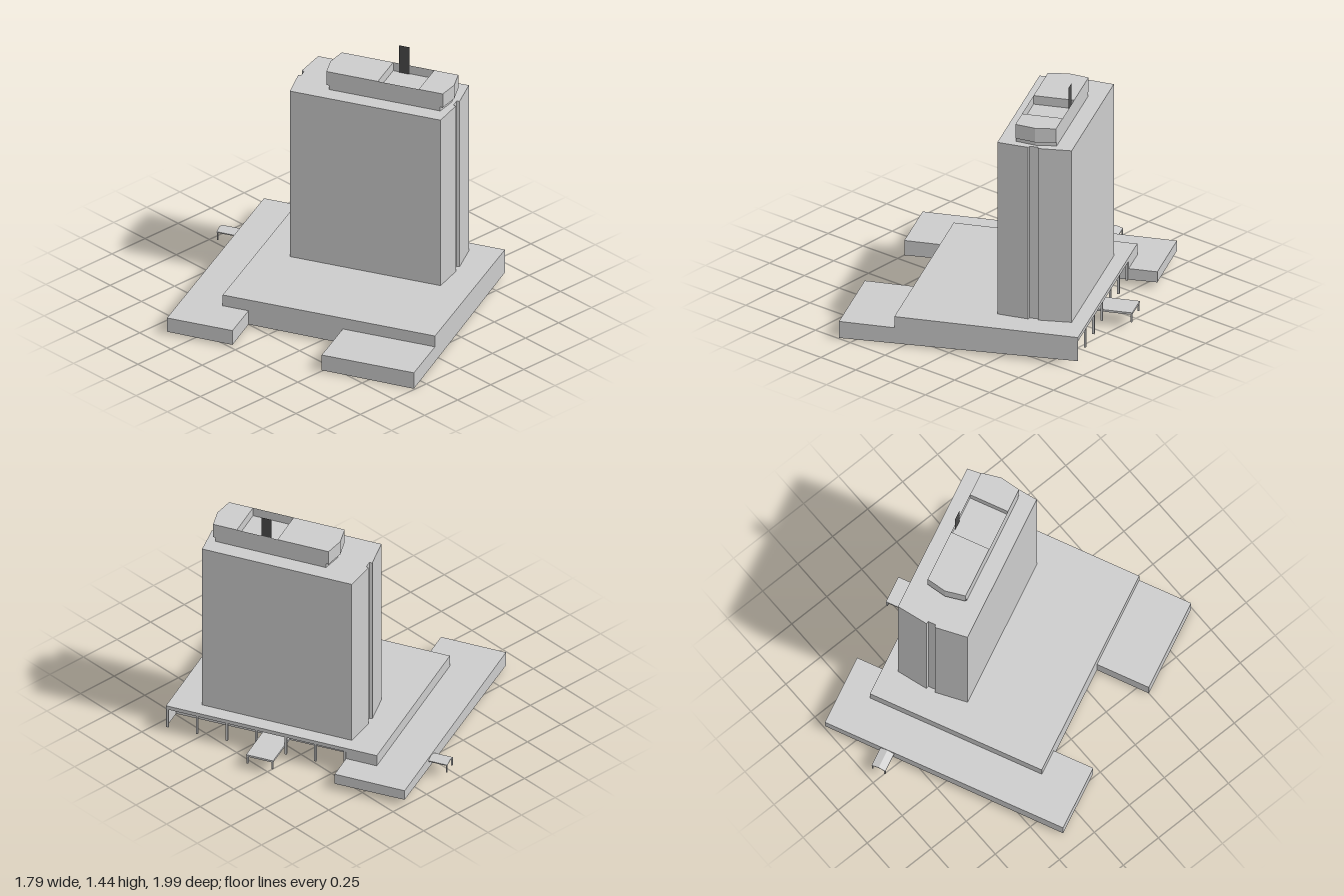
import * as THREE from 'three';

const ANGLE = THREE.MathUtils.degToRad(25);
const C = Math.cos(ANGLE), S = Math.sin(ANGLE);
const grey = new THREE.MeshStandardMaterial({ color: 0xcccccc, side: THREE.DoubleSide, flatShading: true });
const dark = new THREE.MeshStandardMaterial({ color: 0x4a4a4a, side: THREE.DoubleSide, flatShading: true });

// Gently sloping ground under the building, in the building's own u (across) and v (depth)
function ground(u, v) {
  const x = u * C + v * S, z = -u * S + v * C;
  return Math.max(0, 0.013 * (x + 0.335) - 0.015 * (z - 0.99));
}

// Vertical sheet along a path of [u, v] points; without a bottom it reaches the ground
function wall(group, name, path, top, bottom, closed = false) {
  const pos = [];
  const count = closed ? path.length : path.length - 1;
  for (let i = 0; i < count; i++) {
    const [u0, v0] = path[i], [u1, v1] = path[(i + 1) % path.length];
    const b0 = bottom ?? ground(u0, v0), b1 = bottom ?? ground(u1, v1);
    pos.push(u0, b0, v0, u1, b1, v1, u1, top, v1);
    pos.push(u0, b0, v0, u1, top, v1, u0, top, v0);
  }
  const geo = new THREE.BufferGeometry();
  geo.setAttribute('position', new THREE.Float32BufferAttribute(pos, 3));
  geo.computeVertexNormals();
  return add(group, name, geo);
}

// Flat sheet over an outline of [u, v] points
function deck(group, name, outline, y) {
  const shape = new THREE.Shape(outline.map(([u, v]) => new THREE.Vector2(u, -v)));
  return add(group, name, new THREE.ShapeGeometry(shape).rotateX(-Math.PI / 2).translate(0, y, 0));
}

function add(group, name, geo, material = grey) {
  const mesh = new THREE.Mesh(geo, material);
  mesh.name = name;
  group.add(mesh);
  return mesh;
}

function box(group, name, u0, u1, y0, y1, v0, v1) {
  const geo = new THREE.BoxGeometry(u1 - u0, y1 - y0, v1 - v0);
  return add(group, name, geo.translate((u0 + u1) / 2, (y0 + y1) / 2, (v0 + v1) / 2));
}

// Thin post standing on the ground
function post(group, name, u, v, top, size = 0.01) {
  const h = size / 2;
  return box(group, name, u - h, u + h, ground(u, v), top, v - h, v + h);
}

const rect = (u0, u1, v0, v1) => [[u0, v1], [u1, v1], [u1, v0], [u0, v0]];

function section(parent, name) {
  const g = new THREE.Group();
  g.name = name;
  parent.add(g);
  return g;
}

export function createModel() {
  const model = new THREE.Group();
  model.name = 'towerBuilding';
  const site = section(model, 'site');
  site.rotation.y = ANGLE;

  // Podium: open-bottomed shell with a recessed arcade on its left side
  const L = -0.41, R = 0.635, B = -0.498, F = 0.757, TOP = 0.168, LOW = 0.1;
  const recess = 0.49, soffit = 0.145, slabEdge = -0.315;
  const podium = section(site, 'podium');
  deck(podium, 'podiumRoof', rect(L, R, B, F), TOP);
  wall(podium, 'podiumFront', [[L, F], [R, F]], TOP);
  wall(podium, 'podiumSide', [[L, -0.345], [L, 0.212]], TOP);
  wall(podium, 'podiumUpperSide', [[L, 0.212], [L, F]], TOP, LOW);
  wall(podium, 'podiumUpperBack', [[R, slabEdge], [R, B], [L, B], [L, -0.345]], TOP, LOW);
  wall(podium, 'arcadeFascia', [[R, F], [R, slabEdge]], TOP, soffit);
  deck(podium, 'arcadeSoffit', rect(recess, R, slabEdge, F), soffit);
  wall(podium, 'arcadeWall', [[recess, F], [recess, slabEdge], [R, slabEdge]], soffit);
  for (let i = 0; i < 7; i++) post(podium, 'arcadeColumn', R - 0.008, 0.75 - i * 0.176, soffit, 0.012);

  // Low wing at the front corner
  const wing = section(site, 'frontWing');
  deck(wing, 'wingRoof', rect(-0.725, L, 0.212, F), LOW);
  wall(wing, 'wingWalls', [[L, 0.212], [-0.725, 0.212], [-0.725, F], [L, F]], LOW);

  // Low slab wrapping the back of the podium
  const slab = section(site, 'backSlab');
  deck(slab, 'slabRoof', [[-0.65, -0.345], [L, -0.345], [L, B], [R, B], [R, slabEdge],
    [0.798, slabEdge], [0.798, -0.732], [-0.65, -0.732]], LOW);
  wall(slab, 'slabWalls', [[R, slabEdge], [0.798, slabEdge], [0.798, -0.732],
    [-0.65, -0.732], [-0.65, -0.345], [L, -0.345]], LOW);

  // Tower: bowed ends with a narrow vertical groove in each
  const tower = section(site, 'tower');
  const towerOutline = [
    [0.128, 0.577], [0.308, 0.596], [0.312, 0.58], [0.36, 0.58], [0.364, 0.596], [0.551, 0.577],
    [0.551, -0.314], [0.367, -0.338], [0.362, -0.322], [0.32, -0.322], [0.315, -0.338], [0.128, -0.314]];
  wall(tower, 'towerWalls', towerOutline, 1.21, TOP, true);
  deck(tower, 'towerRoof', towerOutline, 1.21);

  // Penthouse: bowed block with an equipment well sunk in its roof
  const pent = section(site, 'penthouse');
  const p0 = 0.224, p1 = 0.455, mid = 0.34, pf = 0.552, pb = -0.136, w0 = 0.168, w1 = 0.41;
  const bowed = (inset) => [[p0, pf - inset], [mid, pf + 0.022 - inset], [p1, pf - inset],
    [p1, pb + inset], [mid, pb - 0.022 + inset], [p0, pb + inset]];
  wall(pent, 'penthouseBase', bowed(0.015), 1.235, 1.21, true);
  wall(pent, 'penthouseWalls', bowed(0), 1.32, 1.235, true);
  deck(pent, 'penthouseUnderside', bowed(0), 1.235);
  deck(pent, 'penthouseFrontRoof', [[p0, pf], [mid, pf + 0.022], [p1, pf], [p1, w1], [p0, w1]], 1.32);
  deck(pent, 'penthouseBackRoof', [[p0, w0], [p1, w0], [p1, pb], [mid, pb - 0.022], [p0, pb]], 1.32);
  deck(pent, 'wellFloor', rect(p0, p1, w0, w1), 1.268);
  wall(pent, 'wellBackWall', [[p0, w0], [p1, w0]], 1.32, 1.268);
  wall(pent, 'wellFrontWall', [[p1, w1], [p0, w1]], 1.32, 1.268);
  const mast = new THREE.PlaneGeometry(0.06, 0.17).rotateY(Math.PI / 2).translate(0.449, 1.353, 0.235);
  add(pent, 'roofMast', mast, dark);

  // Entrance canopy reaching out from the arcade wall
  const canopy = section(site, 'sideCanopy');
  box(canopy, 'canopyPlate', recess, 0.797, 0.078, 0.09, 0.052, 0.212);
  for (const v of [0.058, 0.206]) post(canopy, 'canopyLeg', 0.791, v, 0.08);

  // Small ridged canopy at the back
  const porch = section(site, 'backCanopy');
  const gable = new THREE.Shape();
  gable.moveTo(0.377, 0.085).lineTo(0.418, 0.097).lineTo(0.46, 0.085);
  gable.lineTo(0.46, 0.079).lineTo(0.418, 0.091).lineTo(0.377, 0.079).closePath();
  const roof = new THREE.ExtrudeGeometry(gable, { depth: 0.113, bevelEnabled: false });
  add(porch, 'porchRoof', roof.translate(0, 0, -0.845));
  for (const u of [0.381, 0.456]) post(porch, 'porchLeg', u, -0.84, 0.082, 0.007);

  return model;
}
